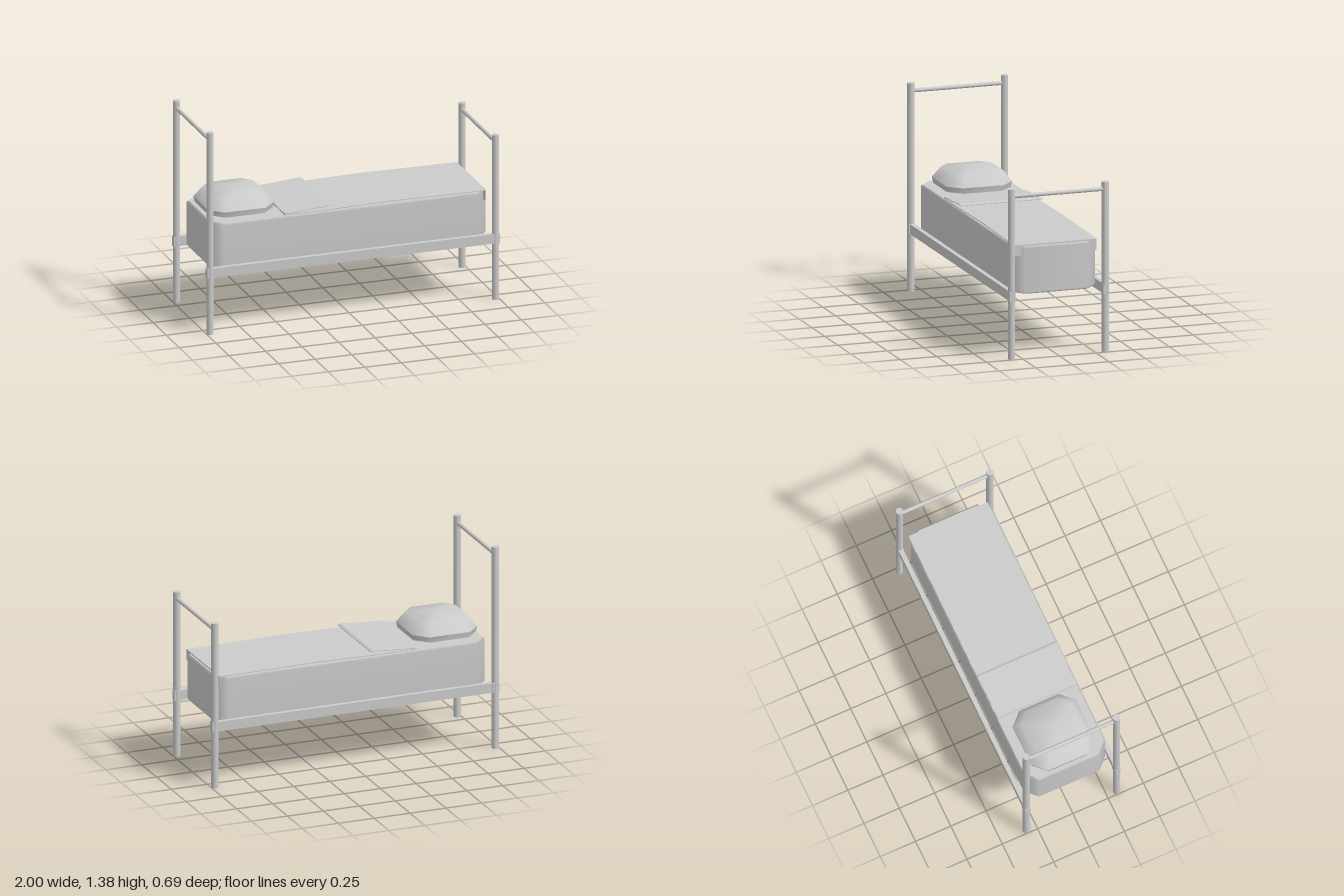
import * as THREE from 'three';
import { mergeVertices } from 'three/addons/utils/BufferGeometryUtils.js';

const mat = new THREE.MeshStandardMaterial({ color: 0xcccccc });
const thinMat = new THREE.MeshStandardMaterial({ color: 0xcccccc, side: THREE.DoubleSide });

function add(parent, name, geometry, x = 0, y = 0, z = 0, material = mat) {
  const mesh = new THREE.Mesh(geometry, material);
  mesh.name = name;
  mesh.position.set(x, y, z);
  parent.add(mesh);
  return mesh;
}

// Chamfered rectangle: half sizes a (x) and b (z), corner cut c
function octagon(a, b, c) {
  return [[a, -b + c], [a, b - c], [a - c, b], [-a + c, b],
    [-a, b - c], [-a, -b + c], [-a + c, -b], [a - c, -b]];
}

// Smooth skin through octagonal rings given as [y, a, b, c], bottom to top
function loft(rings) {
  const pos = [], index = [];
  for (const [y, a, b, c] of rings) {
    for (const [x, z] of octagon(a, b, c)) pos.push(x, y, z);
  }
  for (let r = 0; r < rings.length - 1; r++) {
    for (let i = 0; i < 8; i++) {
      const p = r * 8 + i, q = r * 8 + (i + 1) % 8;
      index.push(p, p + 8, q, q, p + 8, q + 8);
    }
  }
  const g = new THREE.BufferGeometry();
  g.setAttribute('position', new THREE.Float32BufferAttribute(pos, 3));
  g.setIndex(index);
  const merged = mergeVertices(g, 1e-5);
  merged.computeVertexNormals();
  return merged;
}

// Thin cloth: a side profile of [x, y] points given a thickness and a width in z
function cloth(points, thickness, width) {
  const under = points.map(([x, y]) => [x, y - thickness]).reverse();
  const shape = new THREE.Shape([...points, ...under].map(([x, y]) => new THREE.Vector2(x, y)));
  const g = new THREE.ExtrudeGeometry(shape, { depth: width, bevelEnabled: false });
  return g.translate(0, 0, -width / 2);
}

export function createModel() {
  const bed = new THREE.Group();
  bed.name = 'bed';

  // Frame: tall head end at -x, lower foot end at +x
  const frame = new THREE.Group();
  frame.name = 'frame';
  bed.add(frame);
  const ends = [['head', -0.976, 1.38, 1.328], ['foot', 0.976, 1.126, 1.078]];
  for (const [name, x, height, barY] of ends) {
    for (const z of [-0.32, 0.32]) {
      add(frame, name + 'Post', new THREE.CylinderGeometry(0.0235, 0.0235, height, 16), x, height / 2, z);
      add(frame, 'railBracket', new THREE.BoxGeometry(0.048, 0.065, 0.038), x, 0.417, z);
    }
    const bar = new THREE.CylinderGeometry(0.0135, 0.0135, 0.62, 12).rotateX(Math.PI / 2);
    add(frame, name + 'Bar', bar, x, barY, 0);
  }
  for (const z of [-0.32, 0.32]) {
    add(frame, 'sideRail', new THREE.BoxGeometry(1.92, 0.065, 0.03), 0, 0.417, z);
  }

  // Mattress: shell open underneath, with a flat top
  const mattress = new THREE.Group();
  mattress.name = 'mattress';
  bed.add(mattress);
  add(mattress, 'mattressSides', loft([
    [0.415, 0.937, 0.28, 0.075],
    [0.427, 0.945, 0.289, 0.075],
    [0.717, 0.945, 0.289, 0.075],
    [0.729, 0.935, 0.28, 0.075],
  ]), 0, 0, 0, thinMat);
  add(mattress, 'mattressTop', loft([
    [0.729, 0.935, 0.28, 0.075],
    [0.729, 0, 0, 0],
  ]), 0, 0, 0, thinMat);

  // Pillow: low band with a domed, faceted-outline top
  const pillow = new THREE.Group();
  pillow.name = 'pillow';
  pillow.position.x = -0.7;
  bed.add(pillow);
  add(pillow, 'pillowBase', loft([[0.742, 0, 0, 0], [0.742, 0.218, 0.218, 0.085]]));
  add(pillow, 'pillowBand', loft([[0.742, 0.218, 0.218, 0.085], [0.78, 0.225, 0.225, 0.085]]));
  add(pillow, 'pillowTop', loft([
    [0.78, 0.225, 0.225, 0.085],
    [0.85, 0.175, 0.175, 0.065],
    [0.876, 0, 0, 0],
  ]));

  // Blanket with a turned-down fold and a short flap at the foot
  const blanket = new THREE.Group();
  blanket.name = 'blanket';
  bed.add(blanket);
  add(blanket, 'blanketTop', cloth([
    [-0.45, 0.738], [-0.13, 0.738], [0.25, 0.745], [0.6, 0.741], [0.925, 0.738],
  ], 0.006, 0.56));
  add(blanket, 'blanketFold', cloth([
    [-0.45, 0.744], [-0.3, 0.753], [-0.145, 0.765], [-0.13, 0.758],
  ], 0.005, 0.56));
  add(blanket, 'blanketFlap', new THREE.BoxGeometry(0.005, 0.07, 0.56), 0.9225, 0.7, 0);

  return bed;
}
